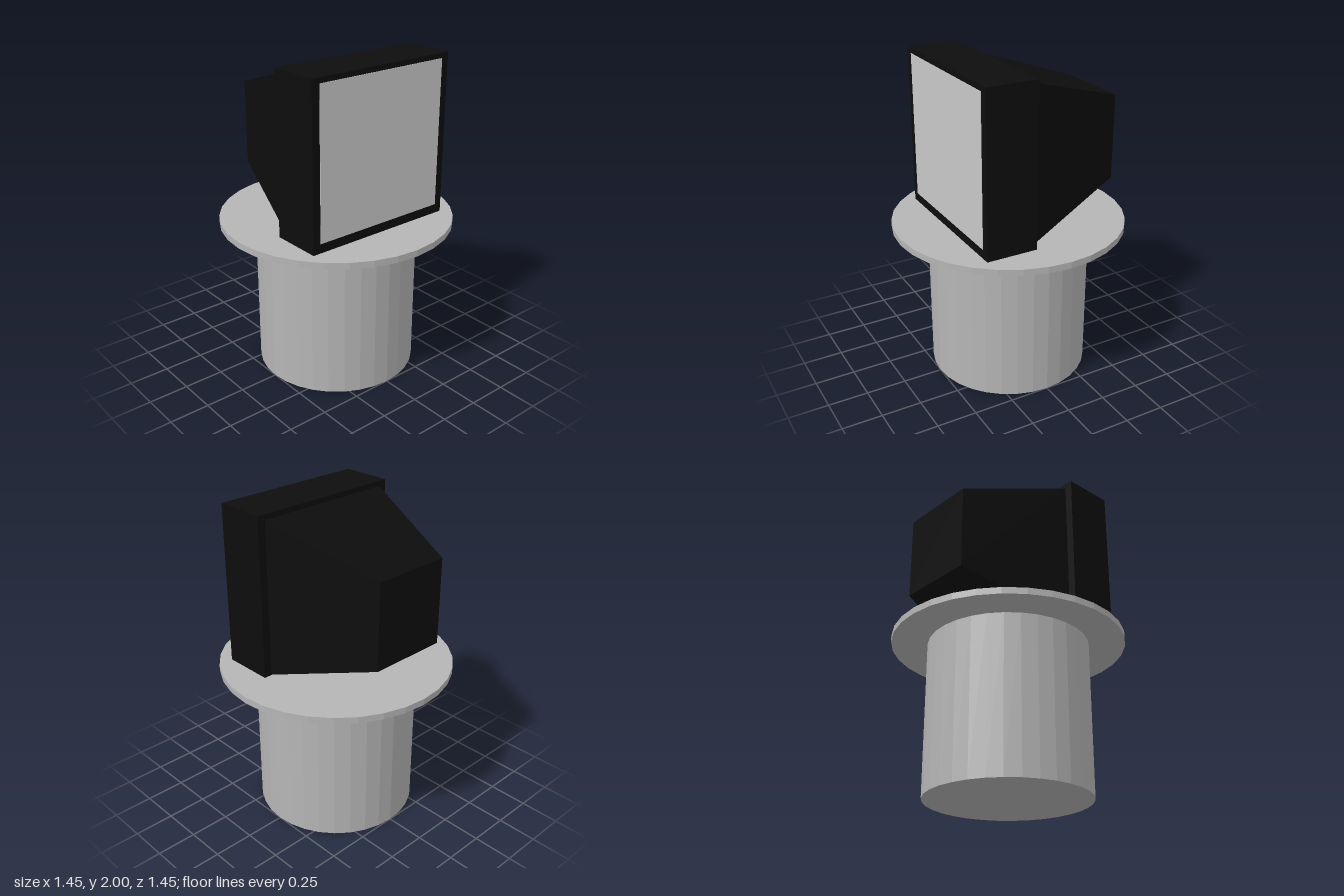
import * as THREE from 'three';

const paint = (name, color) => {
  const m = new THREE.MeshStandardMaterial({ color, flatShading: true });
  m.name = name;
  return m;
};

export function createModel() {
  const group = new THREE.Group();
  const grey = paint('stand grey', 0xb5b5b5);
  const black = paint('casing black', 0x0d0d0d);
  const pale = paint('screen pale grey', 0xcacaca);

  const add = (name, geometry, material, x, y, z) => {
    const mesh = new THREE.Mesh(geometry, material);
    mesh.name = name;
    mesh.position.set(x, y, z);
    group.add(mesh);
  };

  // Round pedestal and its wider top plate
  add('pedestal', new THREE.CylinderGeometry(0.5, 0.5, 0.965, 32), grey, 0, 0.4825, 0);
  add('topPlate', new THREE.CylinderGeometry(0.723, 0.723, 0.04, 32), grey, 0, 0.98, 0);

  // Monitor front casing
  add('casing', new THREE.BoxGeometry(1, 1, 0.32), black, 0, 1.5, 0.25);

  // Tapered rear housing: shrink the back face of a box
  const rear = new THREE.BoxGeometry(0.9, 0.965, 0.68);
  const p = rear.attributes.position;
  for (let i = 0; i < p.count; i++) {
    if (p.getZ(i) < 0) p.setXY(i, p.getX(i) * 0.25 / 0.45, p.getY(i) * 0.53 / 0.965);
  }
  rear.computeVertexNormals();
  add('rearHousing', rear, black, 0, 1.485, -0.25);

  // Thin screen plate on the front
  add('screen', new THREE.BoxGeometry(0.9, 0.91, 0.004), pale, 0, 1.513, 0.411);

  return group;
}
